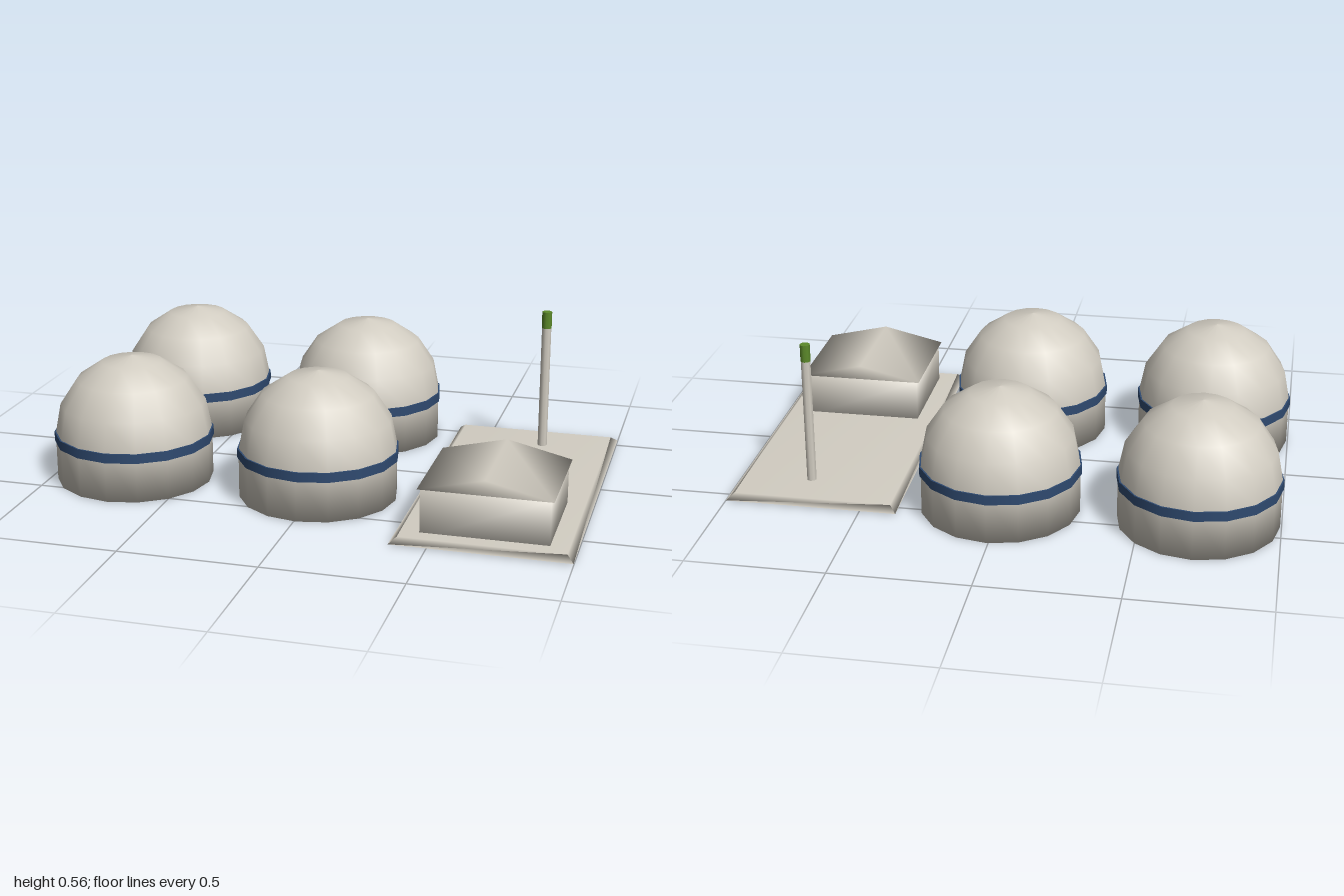
import * as THREE from 'three';
import { mergeVertices } from 'three/addons/utils/BufferGeometryUtils.js';

// Weld corners and share normals for soft shading across the edges
function soften(geometry) {
  geometry.deleteAttribute('uv');
  geometry.deleteAttribute('normal');
  geometry.clearGroups();
  const welded = mergeVertices(geometry, 1e-4);
  welded.computeVertexNormals();
  return welded;
}

export function createModel() {
  const model = new THREE.Group();
  const concrete = new THREE.MeshStandardMaterial({ name: 'warm grey', color: 0xd2cdc2 });
  const blue = new THREE.MeshStandardMaterial({ name: 'dark blue', color: 0x2f4a70 });
  const green = new THREE.MeshStandardMaterial({ name: 'leaf green', color: 0x5c8a2a });

  const add = (parent, name, geometry, material, x = 0, y = 0, z = 0) => {
    const mesh = new THREE.Mesh(geometry, material);
    mesh.name = name;
    mesh.position.set(x, y, z);
    parent.add(mesh);
  };

  // Four domed tanks: closed base, short wall, hemisphere, painted band
  const R = 0.29, wall = 0.18;
  const profile = [new THREE.Vector2(0, 0), new THREE.Vector2(R, 0)];
  for (let i = 0; i <= 4; i++) {
    const a = (i * Math.PI) / 8;
    profile.push(new THREE.Vector2(i === 4 ? 0 : R * Math.cos(a), wall + R * Math.sin(a)));
  }
  const shell = new THREE.LatheGeometry(profile, 16);
  const band = new THREE.CylinderGeometry(R + 0.005, R + 0.005, 0.035, 16);
  for (const x of [-0.705, 0.008]) {
    for (const z of [-0.415, 0.3]) {
      const tank = new THREE.Group();
      tank.name = 'domedTank';
      tank.position.set(x, 0, z);
      add(tank, 'tankShell', shell, concrete);
      add(tank, 'tankBand', band, blue, 0, 0.167, 0);
      model.add(tank);
    }
  }

  // Ground slab with sloping edges
  const slab = new THREE.BoxGeometry(0.632, 0.02, 1.26);
  const p = slab.attributes.position;
  for (let i = 0; i < p.count; i++) {
    if (p.getY(i) > 0) {
      p.setX(i, p.getX(i) - Math.sign(p.getX(i)) * 0.025);
      p.setZ(i, p.getZ(i) - Math.sign(p.getZ(i)) * 0.028);
    }
  }
  add(model, 'groundSlab', soften(slab), concrete, 0.683, 0.012, 0.077);

  // Service building with a low gable roof, ridge running front to back
  const building = new THREE.Group();
  building.name = 'serviceBuilding';
  building.position.set(0.683, 0, 0.418);
  add(building, 'buildingWalls', soften(new THREE.BoxGeometry(0.45, 0.184, 0.41)), concrete, 0, 0.092, 0);
  const gable = new THREE.Shape([
    new THREE.Vector2(-0.235, 0.182),
    new THREE.Vector2(0.235, 0.182),
    new THREE.Vector2(0, 0.237),
  ]);
  const roof = new THREE.ExtrudeGeometry(gable, { depth: 0.43, bevelEnabled: false });
  add(building, 'gableRoof', soften(roof), concrete, 0, 0, -0.215);
  model.add(building);

  // Chimney with a green tip
  add(model, 'chimney', new THREE.CylinderGeometry(0.018, 0.018, 0.49, 8), concrete, 0.726, 0.255, -0.37);
  add(model, 'chimneyTip', new THREE.CylinderGeometry(0.019, 0.019, 0.064, 8), green, 0.726, 0.528, -0.37);

  return model;
}
